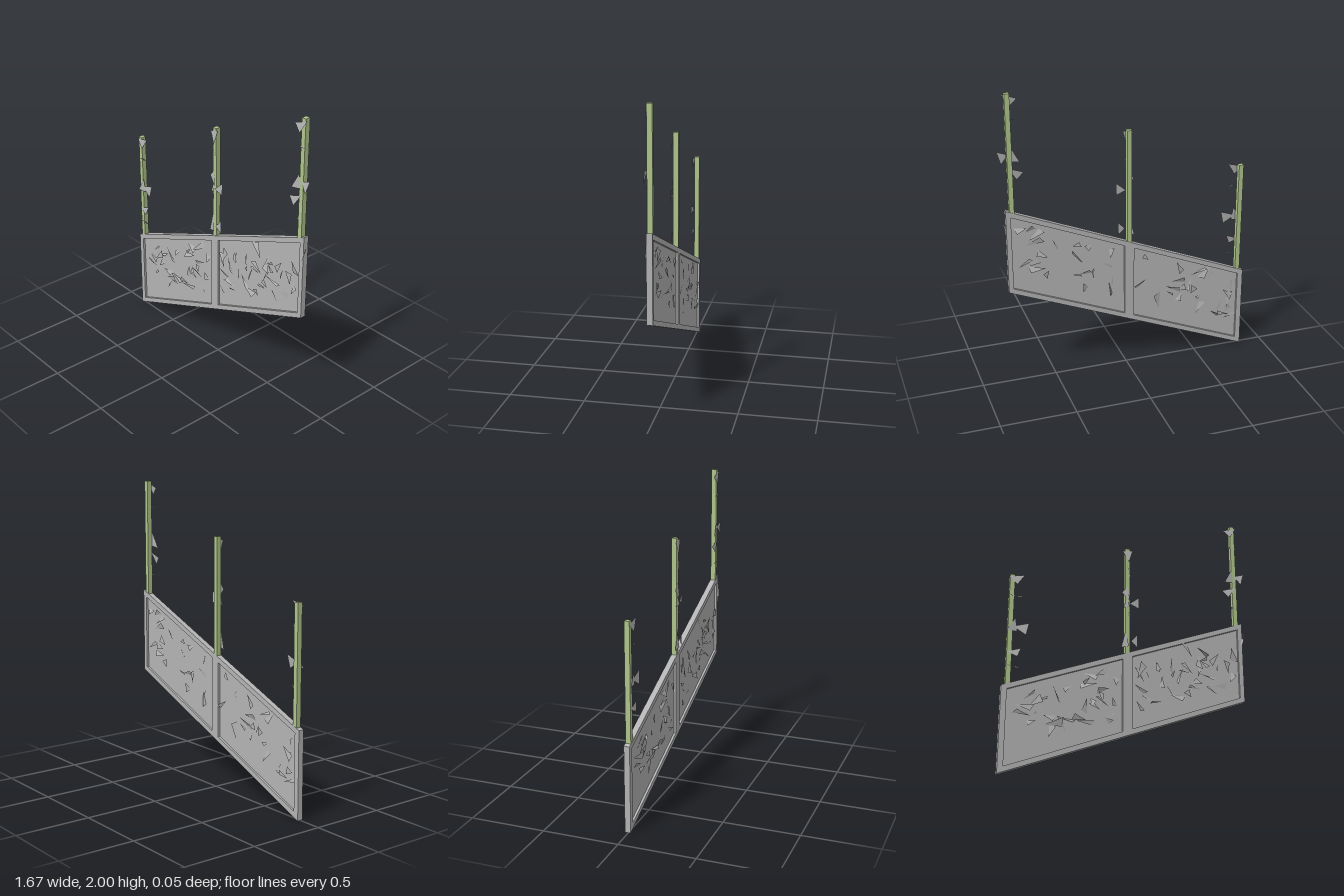
import * as THREE from 'three';

const gray = new THREE.MeshStandardMaterial({ color: 0xb4b4b4, side: THREE.DoubleSide });
gray.name = 'stone gray';
const green = new THREE.MeshStandardMaterial({ color: 0xb0c58c });
green.name = 'pale green';

const SLOPE = 0.4085, LEFT = -0.84, RIGHT = 0.8, HEIGHT = 0.572, MID_Z = -0.003;
const base = (x) => (x - LEFT) * SLOPE; // lower edge of the sloping frame

// Parallelogram between two upright edges, inset from the top and bottom
function bay(x0, x1, inset, Type = THREE.Shape) {
  return new Type([
    new THREE.Vector2(x0, base(x0) + inset),
    new THREE.Vector2(x1, base(x1) + inset),
    new THREE.Vector2(x1, base(x1) + HEIGHT - inset),
    new THREE.Vector2(x0, base(x0) + HEIGHT - inset),
  ]);
}

function slab(name, shape, depth) {
  const geo = new THREE.ExtrudeGeometry(shape, { depth, bevelEnabled: false });
  geo.translate(0, 0, MID_Z - depth / 2);
  const mesh = new THREE.Mesh(geo, gray);
  mesh.name = name;
  return mesh;
}

// Flat three-cornered leaves merged into one mesh
function leafMesh(name, points) {
  const geo = new THREE.BufferGeometry();
  geo.setAttribute('position', new THREE.Float32BufferAttribute(points, 3));
  geo.computeVertexNormals();
  const mesh = new THREE.Mesh(geo, gray);
  mesh.name = name;
  return mesh;
}

function seeded(seed) {
  return () => {
    seed = (seed * 1664525 + 1013904223) % 4294967296;
    return seed / 4294967296;
  };
}

// Leaves scattered over a panel on a jittered grid, pointing all ways
function scatter(x0, x1, seed) {
  const rnd = seeded(seed), pts = [], cols = 11, rows = 5;
  for (let i = 0; i < cols; i++) for (let j = 0; j < rows; j++) {
    const x = x0 + (x1 - x0) * (0.04 + 0.92 * (i + rnd()) / cols);
    const y = base(x) + HEIGHT * (0.25 + 0.6 * (j + rnd()) / rows);
    const angle = rnd() * Math.PI * 2, back = rnd() < 0.4;
    const len = 0.05 + rnd() * 0.08, wide = 0.012 + rnd() * 0.045;
    const c = Math.cos(angle), s = Math.sin(angle);
    for (const [u, v] of [[-len / 2, 0], [len / 2, wide / 2], [len * 0.35, -wide / 2]]) {
      const z = back ? -0.007 - rnd() * 0.02 : 0.001 + rnd() * 0.026;
      pts.push(x + u * c - v * s, y + u * s + v * c, z);
    }
  }
  return leafMesh('panelLeaves', pts);
}

// Post leaves as corner offsets (x, y) from the centre of the post top
const endLeft = [
  [-0.025, -0.02, 0.08, 0.005, 0.03, -0.075],
  [-0.025, -0.155, 0.07, -0.15, 0.065, -0.162],
  [0.015, -0.37, 0.12, -0.335, 0.1, -0.425],
  [-0.025, -0.405, 0.03, -0.31, 0.045, -0.405],
  [-0.02, -0.55, 0.075, -0.515, 0.05, -0.58],
  [-0.02, -0.642, 0.065, -0.645, 0.06, -0.655],
];
const endRight = [
  [-0.07, -0.045, 0.03, -0.01, -0.02, -0.095],
  [-0.075, -0.178, 0.02, -0.172, 0.02, -0.184],
  [0.0, -0.4, 0.072, -0.375, 0.045, -0.465],
  [-0.075, -0.46, -0.015, -0.35, -0.01, -0.45],
  [-0.095, -0.525, 0.005, -0.49, -0.05, -0.575],
  [-0.08, -0.648, 0.01, -0.643, 0.005, -0.655],
];
const middle = [
  [-0.035, -0.025, 0.035, -0.01, 0.005, -0.11],
  [-0.005, -0.13, 0.025, -0.23, 0.012, -0.2],
  [-0.04, -0.34, 0.0, -0.29, 0.012, -0.4],
  [0.01, -0.42, 0.08, -0.36, 0.078, -0.445],
  [-0.03, -0.45, -0.005, -0.38, 0.01, -0.44],
  [0.005, -0.51, -0.018, -0.4, -0.005, -0.41],
  [-0.045, -0.74, -0.015, -0.62, 0.005, -0.73],
  [0.02, -0.69, 0.068, -0.635, 0.065, -0.73],
];

function post(x, top, leaves) {
  const group = new THREE.Group();
  group.name = 'post';
  const foot = base(x) + HEIGHT - 0.03;
  const pole = new THREE.Mesh(new THREE.BoxGeometry(0.032, top - foot, 0.034), green);
  pole.name = 'pole';
  pole.position.set(x, (top + foot) / 2, MID_Z);
  const pts = [];
  leaves.forEach(([ax, ay, bx, by, cx, cy], i) => {
    const tilt = i % 2 ? 0.008 : 0;
    pts.push(x + ax, top + ay, 0.016 + tilt, x + bx, top + by, 0.018, x + cx, top + cy, 0.026 - tilt);
  });
  group.add(pole, leafMesh('postLeaves', pts));
  return group;
}

export function createModel() {
  const model = new THREE.Group();
  model.name = 'slopingFence';

  // Frame with two openings, each filled by a thin recessed panel
  const bays = [[-0.803, -0.05], [0.015, 0.768]];
  const outline = bay(LEFT, RIGHT, 0);
  for (const [a, b] of bays) outline.holes.push(bay(a, b, 0.036, THREE.Path));
  model.add(slab('frame', outline, 0.038));
  bays.forEach(([a, b], i) => {
    model.add(slab('panel', bay(a, b, 0.036), 0.008), scatter(a, b, 17 + i * 40));
  });

  // Stray leaf at the high end of the frame
  model.add(leafMesh('endLeaf', [0.785, 1.08, 0.018, 0.82, 1.18, 0.012, 0.802, 1.09, 0.026]));

  // Three upright posts standing on the frame
  model.add(post(-0.799, 1.35, endLeft), post(-0.018, 1.68, middle), post(0.759, 2, endRight));
  return model;
}
